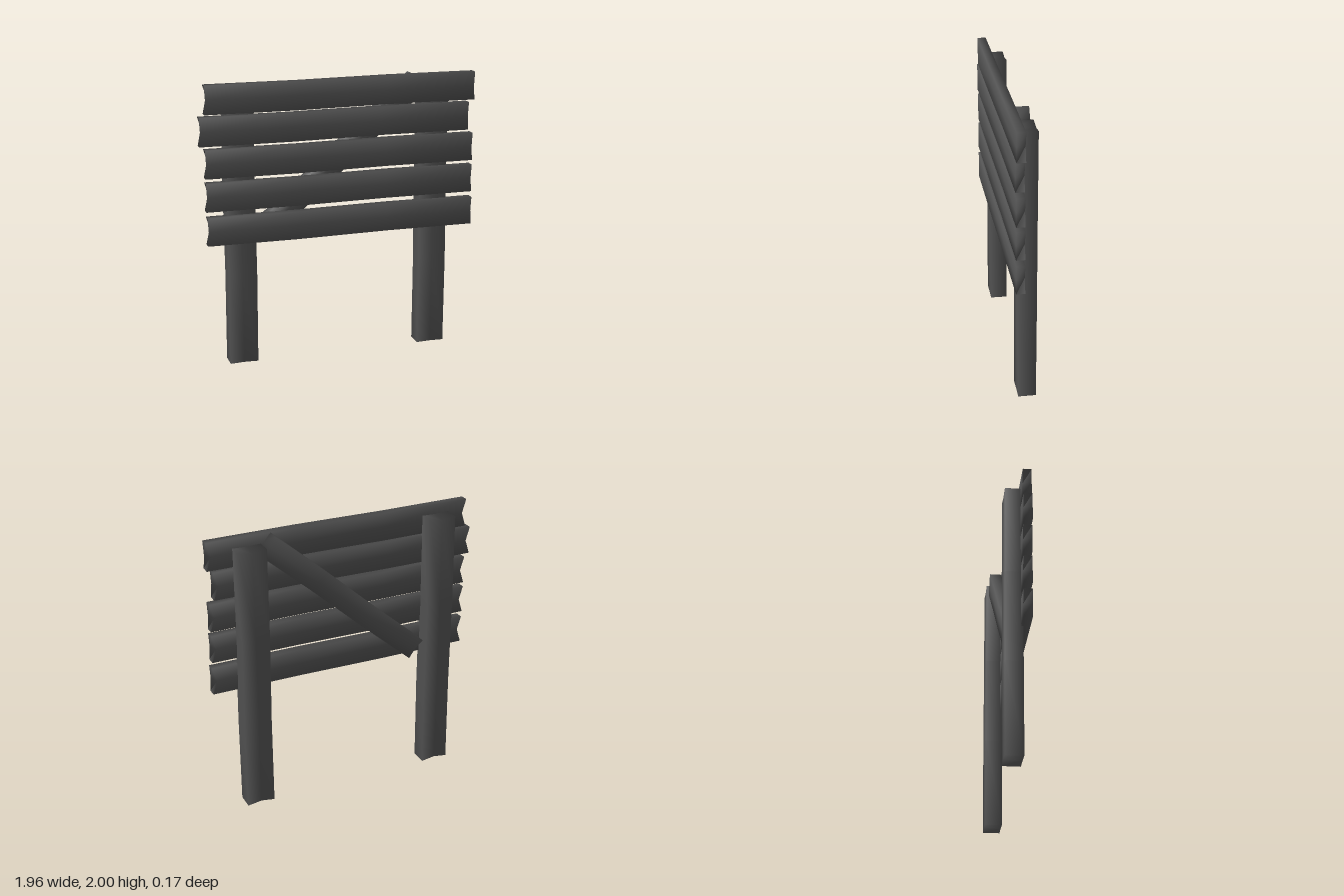
import * as THREE from 'three';
import { mergeVertices } from 'three/addons/utils/BufferGeometryUtils.js';

const wood = new THREE.MeshStandardMaterial({ color: 0x555555 });

// Rough-sawn timber lying along x: smooth-shaded, ends chipped at the back, back slightly crowned
function timber(name, length, width, depth, chip) {
  const geo = new THREE.BoxGeometry(length, width, depth, 3, 2, 1);
  const p = geo.attributes.position;
  for (let i = 0; i < p.count; i++) {
    const x = p.getX(i), y = p.getY(i), z = p.getZ(i);
    const atEnd = Math.abs(x) > length / 2 - 1e-4;
    const middle = Math.abs(y) < 1e-4;
    if (atEnd && middle) p.setX(i, x - Math.sign(x) * chip * (z < 0 ? 1 : 0.2));
    if (!atEnd && middle && z < 0) p.setZ(i, z - 0.004);
    if (!atEnd && !middle) p.setY(i, y + Math.sign(x) * 0.003);
  }
  geo.deleteAttribute('normal');
  geo.deleteAttribute('uv');
  const smooth = mergeVertices(geo);
  smooth.computeVertexNormals();
  const mesh = new THREE.Mesh(smooth, wood);
  mesh.name = name;
  return mesh;
}

export function createModel() {
  const model = new THREE.Group();
  model.name = 'plankSign';

  // Horizontal face planks: [left edge, right edge, centre height]
  const planks = [
    [-0.945, 0.98, 0.99],
    [-0.95, 0.975, 1.23],
    [-0.95, 0.975, 1.46],
    [-0.985, 0.94, 1.683],
    [-0.945, 0.98, 1.897],
  ];
  planks.forEach(([x0, x1, y], i) => {
    const plank = timber(`plank${i + 1}`, x1 - x0, 0.197, 0.06, 0.03);
    plank.position.set((x0 + x1) / 2, y, 0.055);
    model.add(plank);
  });

  // Two upright posts behind the planks
  for (const side of [-1, 1]) {
    const post = timber(side > 0 ? 'leftPost' : 'rightPost', 1.93, 0.2, 0.121, 0.015);
    post.rotation.z = Math.PI / 2;
    post.position.set(side * 0.7, 0.965, -0.0205);
    model.add(post);
  }

  // Diagonal brace between the posts
  const low = new THREE.Vector2(-0.53, 0.95), high = new THREE.Vector2(0.583, 1.937);
  const span = high.clone().sub(low);
  const brace = timber('diagonalBrace', span.length(), 0.16, 0.09, 0.01);
  brace.rotation.z = span.angle();
  brace.position.set((low.x + high.x) / 2, (low.y + high.y) / 2, -0.018);
  model.add(brace);

  return model;
}
